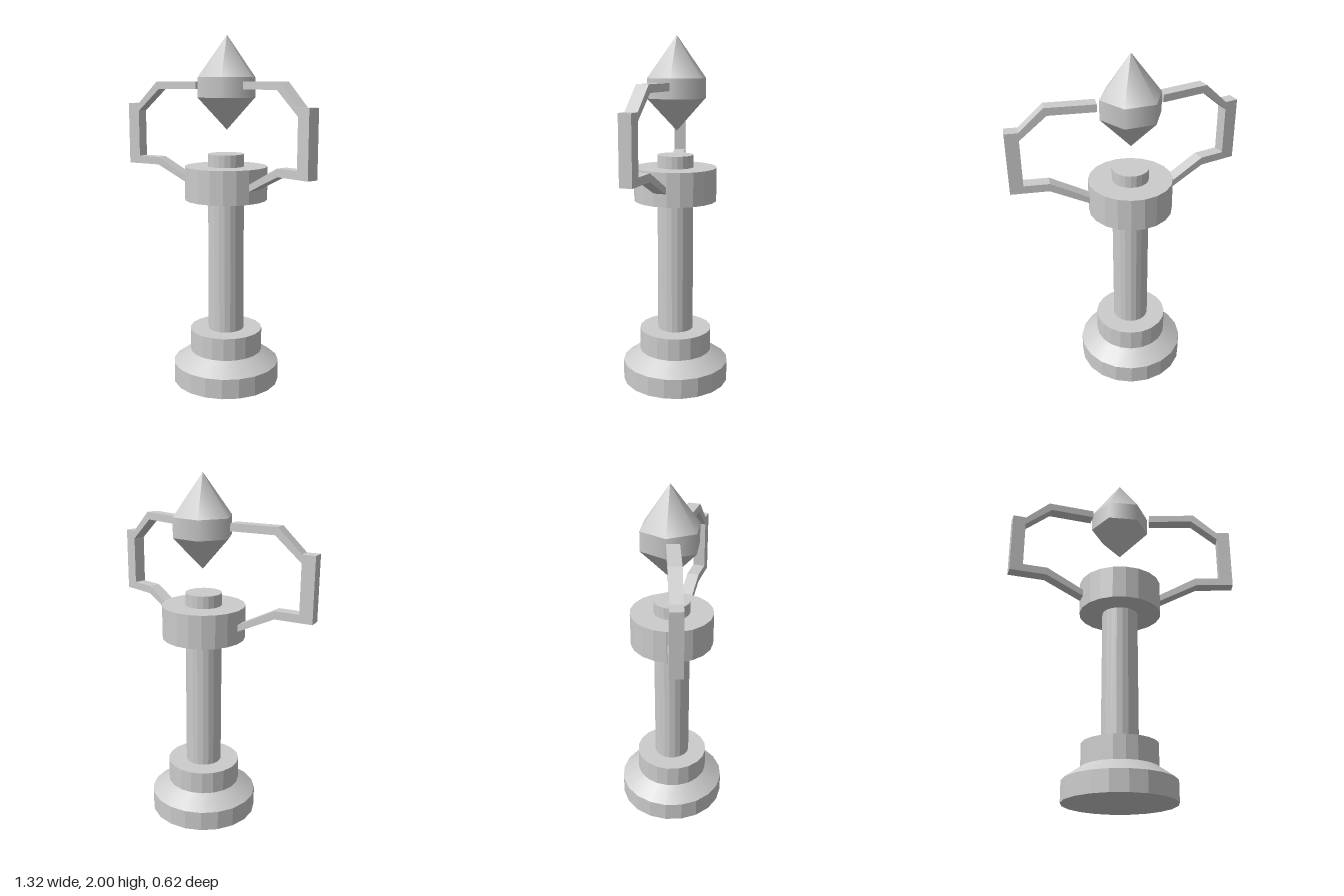
import * as THREE from 'three';

const smooth = new THREE.MeshStandardMaterial({ color: 0xcccccc });
const flat = new THREE.MeshStandardMaterial({ color: 0xcccccc, flatShading: true });

// Upright frustum between two heights
function ring(name, rBottom, rTop, y0, y1, sides = 20, material = flat, open = false) {
  const geometry = new THREE.CylinderGeometry(rTop, rBottom, y1 - y0, sides, 1, open);
  const mesh = new THREE.Mesh(geometry, material);
  mesh.name = name;
  mesh.position.y = (y0 + y1) / 2;
  return mesh;
}

export function createModel() {
  const model = new THREE.Group();
  model.name = 'crystalPedestal';

  // Stepped base, shaft and collar
  model.add(
    ring('baseDisc', 0.31, 0.31, 0, 0.115),
    ring('baseBevel', 0.31, 0.21, 0.115, 0.185, 20, smooth, true),
    ring('baseStep', 0.21, 0.21, 0.185, 0.315),
    ring('shaft', 0.103, 0.103, 0.315, 1.345),
    ring('collar', 0.236, 0.236, 1.085, 1.275),
  );

  // Floating six-sided crystal
  const crystal = new THREE.Group();
  crystal.name = 'crystal';
  crystal.add(
    ring('crystalTip', 0.172, 0, 1.77, 2, 6, smooth, true),
    ring('crystalBand', 0.172, 0.172, 1.66, 1.77, 6, smooth, true),
    ring('crystalPoint', 0, 0.172, 1.48, 1.66, 6, smooth, true),
  );
  crystal.rotation.y = Math.PI / 6;
  crystal.position.z = -0.008;
  model.add(crystal);

  // Bracket arms: angular C outline extruded, swept slightly forward
  const outline = [
    [0.18, 1.705], [0.437, 1.705], [0.588, 1.575], [0.588, 1.305], [0.446, 1.305], [0.2, 1.18],
    [0.2, 1.143], [0.45, 1.26], [0.663, 1.26], [0.663, 1.62], [0.588, 1.62], [0.452, 1.748], [0.18, 1.748],
  ].map(([u, y]) => new THREE.Vector2(u, y));
  const depth = 0.07;
  const armGeometry = new THREE.ExtrudeGeometry(new THREE.Shape(outline), { depth, bevelEnabled: false });
  armGeometry.translate(0, 0, -depth / 2);
  const sweep = 0.162;
  for (const [name, angle] of [['leftArm', -sweep], ['rightArm', Math.PI + sweep]]) {
    const arm = new THREE.Mesh(armGeometry, flat);
    arm.name = name;
    arm.rotation.y = angle;
    model.add(arm);
  }

  return model;
}
